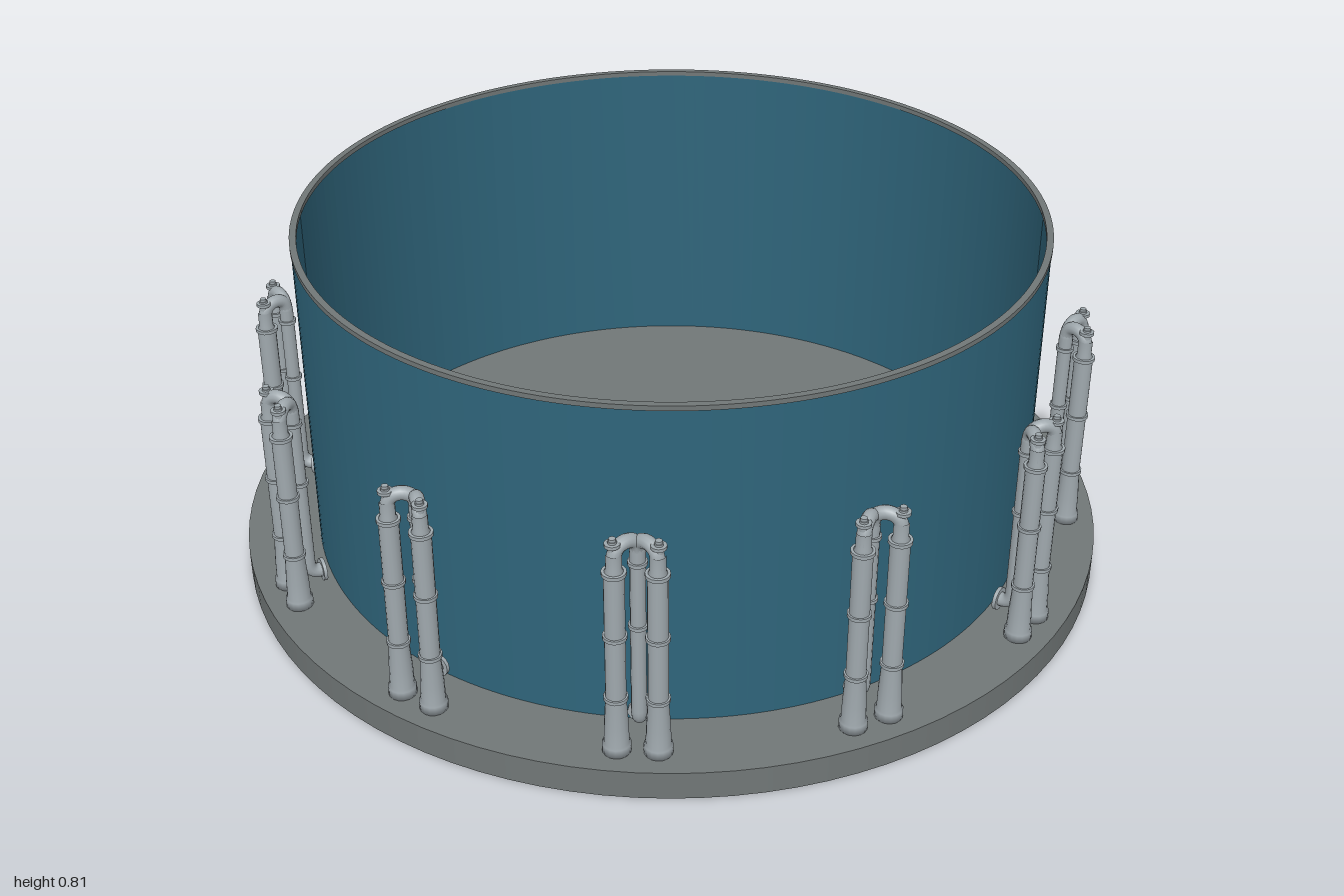
import * as THREE from 'three';

const deck = new THREE.MeshStandardMaterial({ color: 0x717777 });
deck.name = 'deckGrey';
const blue = new THREE.MeshStandardMaterial({ color: 0x2f657b });
blue.name = 'tankBlue';
const steel = new THREE.MeshStandardMaterial({ color: 0x9fa8ad });
steel.name = 'pipeSteel';

const vec = (x, y, z) => new THREE.Vector3(x, y, z);

function add(parent, name, geometry, material, x = 0, y = 0, z = 0) {
  const mesh = new THREE.Mesh(geometry, material);
  mesh.name = name;
  mesh.position.set(x, y, z);
  parent.add(mesh);
  return mesh;
}

// Hollow ring with crisp edges, standing from y0 to y1
function ring(outer, inner, y0, y1) {
  const shape = new THREE.Shape().absarc(0, 0, outer, 0, Math.PI * 2);
  shape.holes.push(new THREE.Path().absarc(0, 0, inner, 0, Math.PI * 2, true));
  const g = new THREE.ExtrudeGeometry(shape, { depth: y1 - y0, bevelEnabled: false, curveSegments: 96 });
  return g.rotateX(-Math.PI / 2).translate(0, y0, 0);
}

const disc = (r, h) => new THREE.CylinderGeometry(r, r, h, 16);

// Riser outline: foot flange, flared foot, straight body, narrow neck
const riserProfile = [
  [0, 0.065], [0.03, 0.065], [0.03, 0.085], [0.026, 0.088], [0.025, 0.13],
  [0.021, 0.2], [0.021, 0.5], [0.016, 0.51], [0.016, 0.545],
].map(([r, y]) => new THREE.Vector2(r, y));
const riserGeometry = new THREE.LatheGeometry(riserProfile, 16);

// One pipe set; local +z points away from the tank
function pipeSet() {
  const set = new THREE.Group();
  const rz = 0.933, cz = 0.895;

  for (const side of [-1, 1]) {
    const x = side * 0.042;
    add(set, 'riser', riserGeometry, steel, x, 0, rz);
    for (const y of [0.2, 0.35, 0.5]) {
      add(set, 'riserCollar', disc(0.025, 0.008), steel, x, y, rz);
    }
    // Arch joining the riser to the shared downpipe
    const arch = new THREE.CatmullRomCurve3([
      vec(x, 0.5, rz), vec(x, 0.535, rz), vec(x * 0.85, 0.553, rz - 0.006),
      vec(x * 0.5, 0.56, (rz + cz) / 2), vec(x * 0.15, 0.553, cz + 0.006),
      vec(0, 0.535, cz), vec(0, 0.5, cz),
    ]);
    add(set, 'archPipe', new THREE.TubeGeometry(arch, 24, 0.015, 12), steel);
    // Valve on top of the riser
    add(set, 'valveStem', disc(0.009, 0.03), steel, x * 1.05, 0.558, rz);
    add(set, 'valveCap', disc(0.016, 0.007), steel, x * 1.05, 0.565, rz);
    add(set, 'valveKnob', disc(0.007, 0.012), steel, x * 1.05, 0.573, rz);
  }

  // Downpipe with an elbow turning towards the tank
  const down = new THREE.CurvePath();
  down.add(new THREE.LineCurve3(vec(0, 0.53, cz), vec(0, 0.14, cz)));
  down.add(new THREE.QuadraticBezierCurve3(vec(0, 0.14, cz), vec(0, 0.11, cz), vec(0, 0.11, cz - 0.03)));
  add(set, 'downpipe', new THREE.TubeGeometry(down, 72, 0.016, 12), steel);
  for (const y of [0.35, 0.5]) add(set, 'downpipeCollar', disc(0.02, 0.008), steel, 0, y, cz);
  const flange = add(set, 'outletFlange', disc(0.026, 0.008), steel, 0, 0.11, cz - 0.031);
  flange.rotation.x = Math.PI / 2;
  return set;
}

export function createModel() {
  const model = new THREE.Group();
  model.name = 'openTankWithPipes';

  // Round base slab, also the tank floor
  add(model, 'baseSlab', new THREE.CylinderGeometry(1, 1, 0.065, 96), deck, 0, 0.0325, 0);

  // Open tank wall, rim and foot seam
  add(model, 'tankWall', ring(0.835, 0.825, 0.065, 0.803), blue);
  add(model, 'tankRim', ring(0.837, 0.822, 0.803, 0.814), deck);

  // Twelve pipe sets around the tank
  for (let i = 0; i < 12; i++) {
    const set = pipeSet();
    set.name = 'pipeSet' + (i + 1);
    set.rotation.y = (i * Math.PI) / 6;
    model.add(set);
  }
  return model;
}
